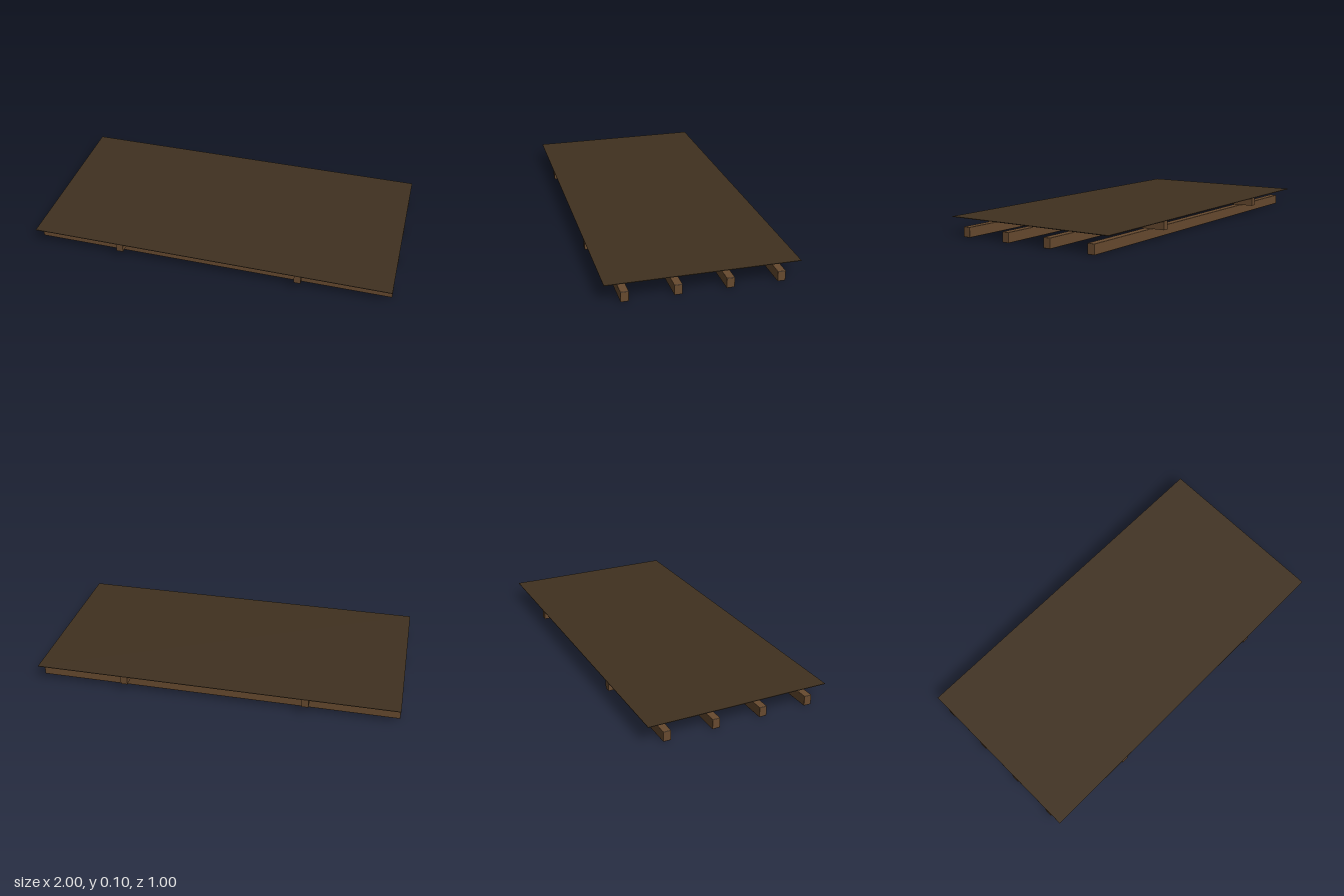
import * as THREE from 'three';
import { RoundedBoxGeometry } from 'three/addons/geometries/RoundedBoxGeometry.js';

export function createModel() {
  const model = new THREE.Group();
  model.name = 'platform';

  const beamWood = new THREE.MeshStandardMaterial({ color: 0x674a2f });
  beamWood.name = 'beam wood';
  const deckWood = new THREE.MeshStandardMaterial({ color: 0x403120 });
  deckWood.name = 'dark deck';

  const add = (name, geometry, material, x, y, z) => {
    const mesh = new THREE.Mesh(geometry, material);
    mesh.name = name;
    mesh.position.set(x, y, z);
    model.add(mesh);
  };

  // Four long runners on the ground, with slightly eased edges
  const runnerHeight = 0.055;
  const runner = new RoundedBoxGeometry(2, runnerHeight, 0.042, 1, 0.003);
  for (let i = 0; i < 4; i++) {
    add(`runner${i + 1}`, runner, beamWood, 0, runnerHeight / 2, 0.4 - i * 0.8 / 3);
  }

  // Two cross beams resting on the runners
  const crossHeight = 0.044;
  const cross = new THREE.BoxGeometry(0.037, crossHeight, 1);
  for (const side of [-1, 1]) {
    add(side > 0 ? 'leftCrossBeam' : 'rightCrossBeam', cross, beamWood,
      side * 0.5, runnerHeight + crossHeight / 2, 0);
  }

  // Thin deck sheet on top
  const deckHeight = 0.003;
  add('deck', new THREE.BoxGeometry(2, deckHeight, 1), deckWood,
    0, runnerHeight + crossHeight + deckHeight / 2, 0);

  return model;
}
